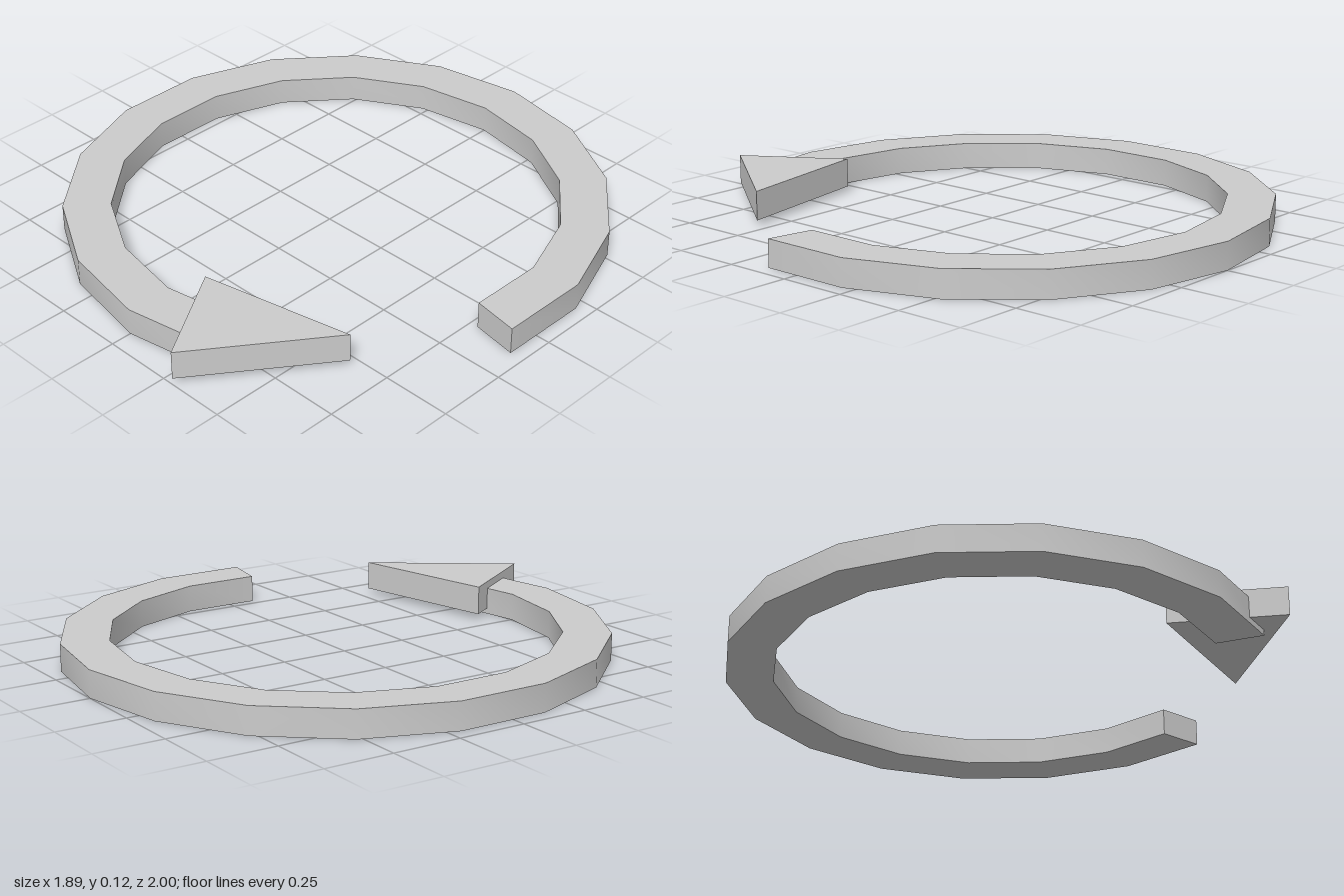
import * as THREE from 'three';
import { toCreasedNormals } from 'three/addons/utils/BufferGeometryUtils.js';

const material = new THREE.MeshStandardMaterial({ color: 0xcccccc });

// Flat plate from a floor outline of [x, z] points, raised from y0 to y1
function plate(name, outline, y0, y1) {
  const shape = new THREE.Shape(outline.map(([x, z]) => new THREE.Vector2(x, -z)));
  const geometry = new THREE.ExtrudeGeometry(shape, { depth: y1 - y0, bevelEnabled: false });
  geometry.rotateX(-Math.PI / 2).translate(0, y0, 0);
  const mesh = new THREE.Mesh(toCreasedNormals(geometry, 0.6), material);
  mesh.name = name;
  return mesh;
}

// Points on an arc in 20 degree steps, measured from the back
function arc(radius, centreZ) {
  const points = [];
  for (let deg = 100; deg >= -200; deg -= 20) {
    const a = THREE.MathUtils.degToRad(deg);
    points.push([radius * Math.sin(a), centreZ - radius * Math.cos(a)]);
  }
  return points;
}

export function createModel() {
  const group = new THREE.Group();
  group.name = 'circularArrow';

  // Open ring: outer arc, then back along the inner arc
  const centreZ = -0.038;
  const ring = [...arc(0.962, centreZ), ...arc(0.793, centreZ).reverse()];
  group.add(plate('openRing', ring, 0, 0.098));

  // Arrowhead, set slightly higher over the front end of the ring
  const head = [[0.07, 0.652], [0.29, 0.998], [0.625, 0.538]];
  group.add(plate('arrowhead', head, 0.021, 0.125));

  return group;
}
